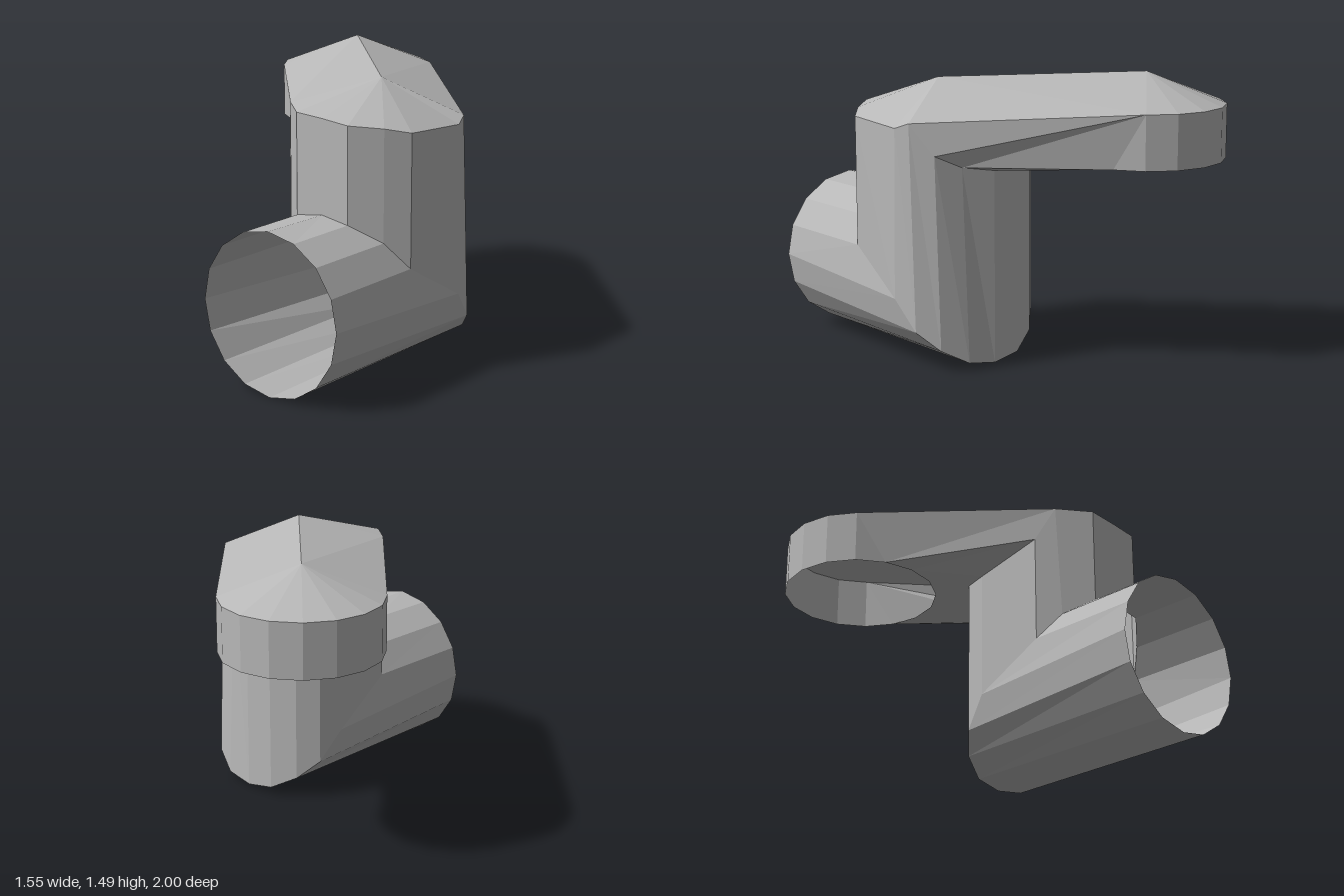
import * as THREE from 'three';

const N = 16;
const R = 0.415;

// Collects flat triangles and turns them into a mesh.
function surface(name, material, build) {
  const pos = [];
  const tri = (a, b, c) => pos.push(...a, ...b, ...c);
  const quad = (a0, a1, b0, b1) => { tri(a0, a1, b0); tri(a1, b1, b0); };
  build(tri, quad);
  const g = new THREE.BufferGeometry();
  g.setAttribute('position', new THREE.Float32BufferAttribute(pos, 3));
  g.computeVertexNormals();
  const mesh = new THREE.Mesh(g, material);
  mesh.name = name;
  return mesh;
}

// Skins two rings of the same point count.
function loft(quad, a, b) {
  for (let k = 0; k < N; k++) quad(a[k], a[(k + 1) % N], b[k], b[(k + 1) % N]);
}

export function createModel() {
  const grey = new THREE.MeshStandardMaterial({ color: 0xb8b8b8, side: THREE.DoubleSide });
  grey.name = 'pipeGrey';
  grey.flatShading = true;

  // Open mouth of the lower pipe
  const mouth = Array.from({ length: N }, (_, k) => {
    const a = (k / N) * Math.PI * 2;
    return [0.36 + R * Math.sin(a), 0.42 + R * Math.cos(a), 1];
  });

  // Mitred elbow: y and z from inner corner to outer corner, mirrored in x
  const elbowHalf = [[0.83, 0.6], [0.805, 0.6], [0.715, 0.49], [0.58, 0.39], [0.37, 0.03],
    [0.215, -0.1], [0.12, -0.19], [0.045, -0.25], [0.02, -0.26]];
  const elbow = mouth.map(([x], k) => {
    const [y, z] = elbowHalf[Math.min(k, N - k)];
    return [x, y, z];
  });

  // Upper rim of the riser, where it turns into the arm
  const rimY = [1.31, 1.295, 1.28, 1.255, 1.24, 1.27, 1.11, 1.045, 1.02,
    1.02, 1.03, 1.05, 1.05, 1.15, 1.33, 1.32];
  const rim = elbow.map(([x, , z], k) => [x, rimY[k], z]);
  rim[4][0] = 0.762;
  rim[5] = [0.735, 1.27, -0.05];
  rim[6][2] = -0.15;
  rim[7][2] = -0.2;
  rim[14] = [0.05, 1.33, 0.47];

  // Downward outlet at the end of the arm; 0..8 faces the riser, 8..16 is the rounded end
  const outlet = (j, y) => {
    const t = (135 - 22.5 * j) * Math.PI / 180;
    return [-0.37 + 0.41 * Math.cos(t), y, -0.59 + 0.41 * Math.sin(t)];
  };
  const low = Array.from({ length: N + 1 }, (_, j) => outlet(j, 1.05));
  const high = Array.from({ length: N + 1 }, (_, j) => outlet(j, 1.33));
  const ridgeNear = [0.38, 1.45, 0.16];
  const ridgeFar = [-0.37, 1.49, -0.59];

  const group = new THREE.Group();
  group.name = 'bentPipe';
  group.add(
    surface('lowerPipe', grey, (tri, quad) => loft(quad, mouth, elbow)),
    surface('riser', grey, (tri, quad) => loft(quad, elbow, rim)),
    surface('armRoof', grey, (tri, quad) => {
      quad(high[0], rim[14], ridgeFar, ridgeNear);
      quad(rim[5], high[8], ridgeNear, ridgeFar);
      for (let k = 14; k < 21; k++) tri(ridgeNear, rim[k % N], rim[(k + 1) % N]);
      for (let j = 8; j < 16; j++) tri(ridgeFar, high[j], high[j + 1]);
    }),
    surface('armSides', grey, (tri) => {
      tri(high[0], low[0], low[1]);
      tri(high[0], low[1], rim[14]);
      tri(low[1], rim[13], rim[14]);
      tri(high[8], rim[5], rim[6]);
      tri(high[8], rim[6], rim[7]);
      tri(high[8], rim[7], low[7]);
      tri(high[8], low[7], low[8]);
    }),
    surface('armUnderside', grey, (tri, quad) => {
      for (let j = 1; j < 7; j++) quad(low[j], low[j + 1], rim[14 - j], rim[13 - j]);
    }),
    surface('outletWall', grey, (tri, quad) => {
      for (let j = 8; j < 16; j++) quad(low[j], low[j + 1], high[j], high[j + 1]);
    }),
  );
  return group;
}
